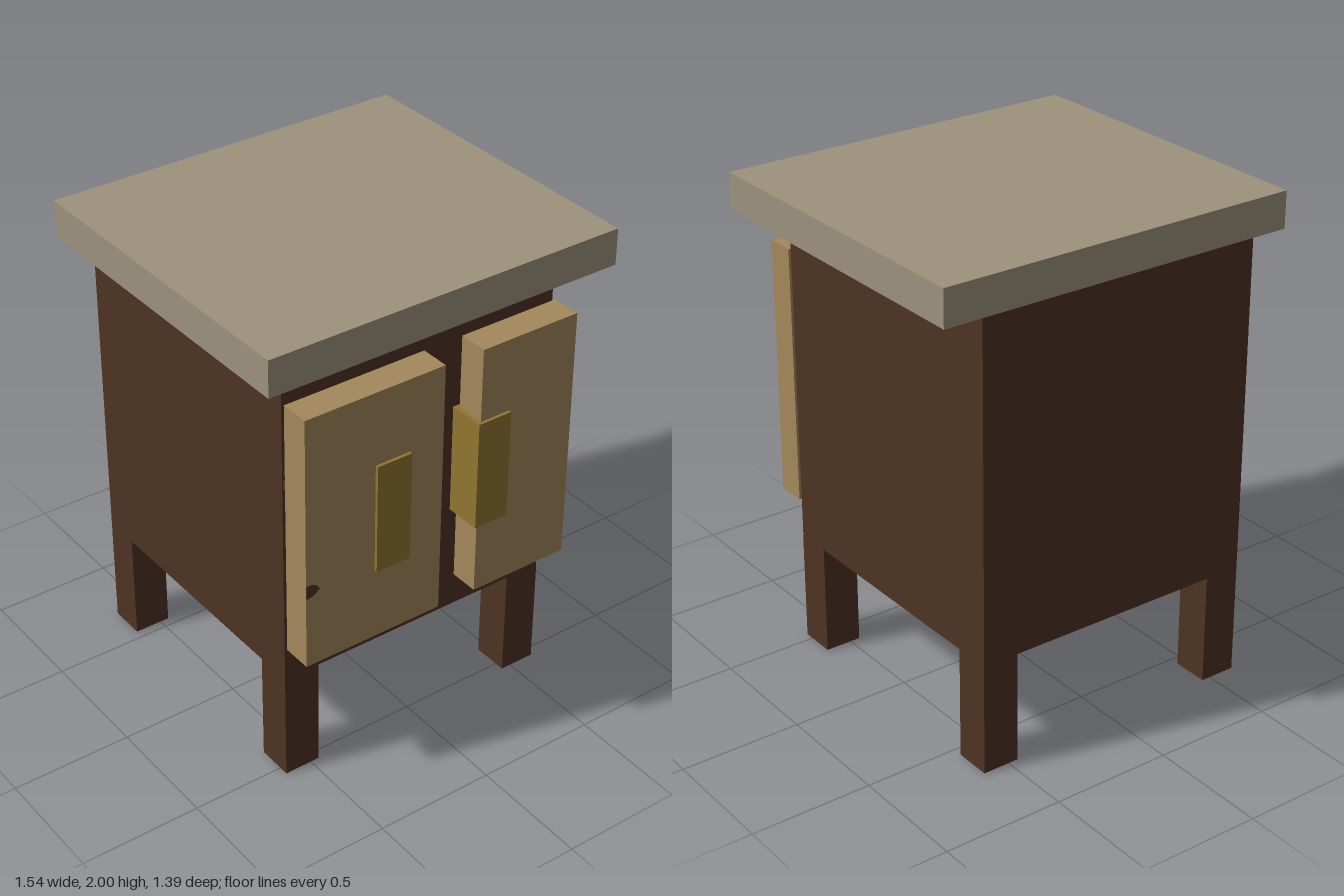
import * as THREE from 'three';

const mat = (name, color, side = THREE.FrontSide) => {
  const m = new THREE.MeshStandardMaterial({ color, side });
  m.name = name;
  return m;
};

export function createModel() {
  const model = new THREE.Group();
  model.name = 'cabinet';
  const darkWood = mat('darkWood', 0x4e3323, THREE.DoubleSide);
  const lightWood = mat('lightWood', 0xa3885b);
  const brass = mat('brass', 0x927631);
  const stone = mat('stone', 0x9d927d);

  const add = (name, geometry, material) => {
    const mesh = new THREE.Mesh(geometry, material);
    mesh.name = name;
    model.add(mesh);
    return mesh;
  };

  // Box given by its lower and upper corners
  const block = (name, material, [x0, y0, z0], [x1, y1, z1]) => {
    const mesh = add(name, new THREE.BoxGeometry(x1 - x0, y1 - y0, z1 - z0), material);
    mesh.position.set((x0 + x1) / 2, (y0 + y1) / 2, (z0 + z1) / 2);
    return mesh;
  };

  // Carcass and overhanging top, flush at the back
  block('body', darkWood, [-0.615, 0.465, -0.693], [0.61, 1.85, 0.54]);
  block('top', stone, [-0.77, 1.85, -0.693], [0.77, 2, 0.693]);

  // Hollow legs, open at the foot
  for (const x of [-0.615, 0.458]) {
    for (const z of [-0.693, 0.387]) {
      const leg = block('leg', darkWood, [x, 0, z], [x + 0.153, 0.465, z + 0.153]);
      const index = Array.from(leg.geometry.index.array);
      index.splice(18, 6); // remove the bottom face
      leg.geometry.setIndex(index);
      leg.geometry.clearGroups();
    }
  }

  // Doors stand slightly clear of the carcass
  block('rightDoor', lightWood, [-0.615, 0.62, 0.557], [-0.003, 1.695, 0.68]);
  block('leftDoor', lightWood, [0.17, 0.62, 0.557], [0.61, 1.695, 0.68]);

  // Handles run through the doors back to the carcass
  block('rightHandle', brass, [-0.308, 0.925, 0.54], [-0.155, 1.388, 0.693]);
  block('leftHandle', brass, [0.153, 0.925, 0.54], [0.303, 1.388, 0.693]);

  // Hinge pin behind the wide door, and the rounded mark on its front edge
  block('hingePin', darkWood, [-0.612, 1.33, 0.54], [-0.57, 1.37, 0.557]);
  const mark = new THREE.Shape();
  mark.moveTo(-0.615, 0.93);
  mark.lineTo(-0.6, 0.93);
  mark.quadraticCurveTo(-0.575, 0.935, -0.555, 0.957);
  mark.quadraticCurveTo(-0.57, 0.985, -0.6, 0.987);
  mark.lineTo(-0.615, 0.985);
  add('hingeMark', new THREE.ExtrudeGeometry(mark, { depth: 0.003, bevelEnabled: false, curveSegments: 6 }), darkWood)
    .position.z = 0.679;

  return model;
}
